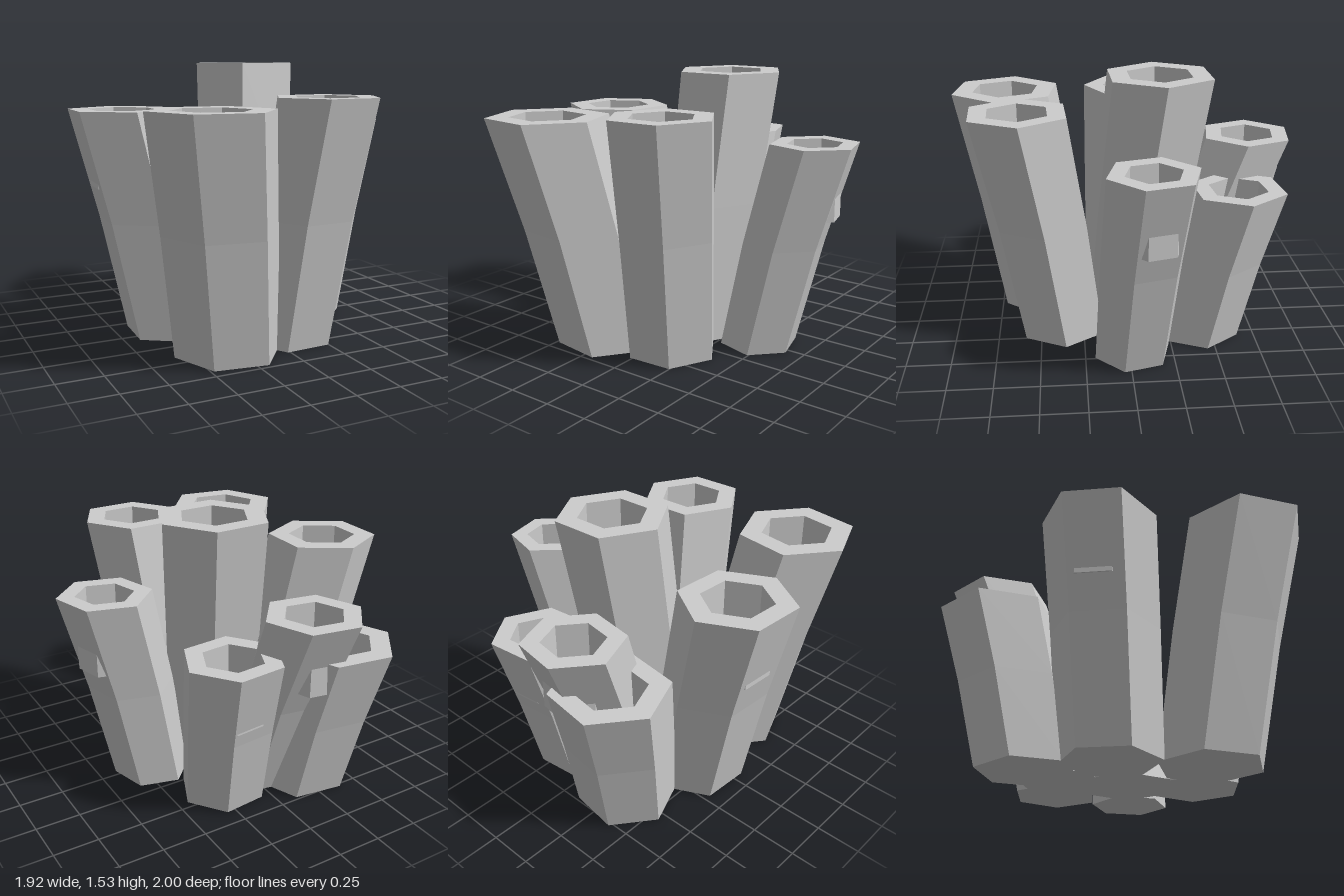
import * as THREE from 'three';

const SIDES = 6;
const BORE_RATIO = 0.62;

// Each column: top centre, height, top radius, turn in degrees, base centre
const COLUMNS = [
  { name: 'centreColumn', top: [0.11, -0.19], h: 1.535, r: 0.315, turn: -2, base: [0.03, -0.01] },
  { name: 'rightColumn', top: [-0.685, -0.11], h: 1.285, r: 0.312, turn: 33, base: [-0.42, -0.06] },
  { name: 'frontRightColumn', top: [-0.49, 0.69], h: 1.32, r: 0.335, turn: 8, base: [-0.3, 0.45] },
  { name: 'frontLeftColumn', top: [0.215, 0.588], h: 1.365, r: 0.297, turn: -3, base: [0.105, 0.37] },
  { name: 'leftColumn', top: [0.717, -0.1], h: 1.183, r: 0.252, turn: 15, base: [0.435, -0.02] },
  { name: 'backLeftColumn', top: [0.258, -0.625], h: 0.915, r: 0.275, turn: -6, base: [0.2, -0.43] },
  { name: 'backColumn', top: [-0.155, -0.745], h: 1.11, r: 0.275, turn: 9, base: [-0.1, -0.37] },
  { name: 'backRightColumn', top: [-0.36, -0.7], h: 0.89, r: 0.32, turn: 8, base: [-0.28, -0.51] },
];

// Horizontal hexagon ring of points
function ring([x, z], y, r, turn) {
  return Array.from({ length: SIDES }, (_, i) => {
    const a = THREE.MathUtils.degToRad(turn + (i * 360) / SIDES);
    return new THREE.Vector3(x + r * Math.cos(a), y, z + r * Math.sin(a));
  });
}

// Join successive rings with quads, then close the first and last ring
function loft(rings) {
  const pos = [];
  const tri = (...pts) => pts.forEach((p) => pos.push(p.x, p.y, p.z));
  for (let k = 0; k + 1 < rings.length; k++) {
    for (let i = 0; i < SIDES; i++) {
      const j = (i + 1) % SIDES;
      const [a, b, c, d] = [rings[k][i], rings[k][j], rings[k + 1][j], rings[k + 1][i]];
      tri(a, c, b);
      tri(a, d, c);
    }
  }
  const first = rings[0];
  const last = rings[rings.length - 1];
  for (let i = 1; i + 1 < SIDES; i++) {
    tri(first[0], first[i], first[i + 1]);
    tri(last[0], last[i + 1], last[i]);
  }
  const geo = new THREE.BufferGeometry();
  geo.setAttribute('position', new THREE.Float32BufferAttribute(pos, 3));
  geo.computeVertexNormals();
  return geo;
}

// Leaning hexagonal tube with a straight-down blind bore, deeper in taller tubes
function columnGeometry({ top, h, r, turn, base }) {
  const mid = base.map((b, i) => b + (top[i] - b) * 0.47);
  const boreDepth = 0.19 + 0.185 * h;
  return loft([
    ring(base, 0, r * 0.88, turn),
    ring(mid, h * 0.52, r * 0.94, turn),
    ring(top, h, r, turn),
    ring(top, h, r * BORE_RATIO, turn),
    ring(top, h - boreDepth, r * BORE_RATIO, turn),
  ]);
}

export function createModel() {
  const stone = new THREE.MeshStandardMaterial({ color: 0xcccccc });
  stone.name = 'stoneGrey';
  stone.flatShading = true;
  stone.side = THREE.DoubleSide;

  const model = new THREE.Group();
  model.name = 'tubeCluster';
  for (const column of COLUMNS) {
    const mesh = new THREE.Mesh(columnGeometry(column), stone);
    mesh.name = column.name;
    model.add(mesh);
  }
  return model;
}
